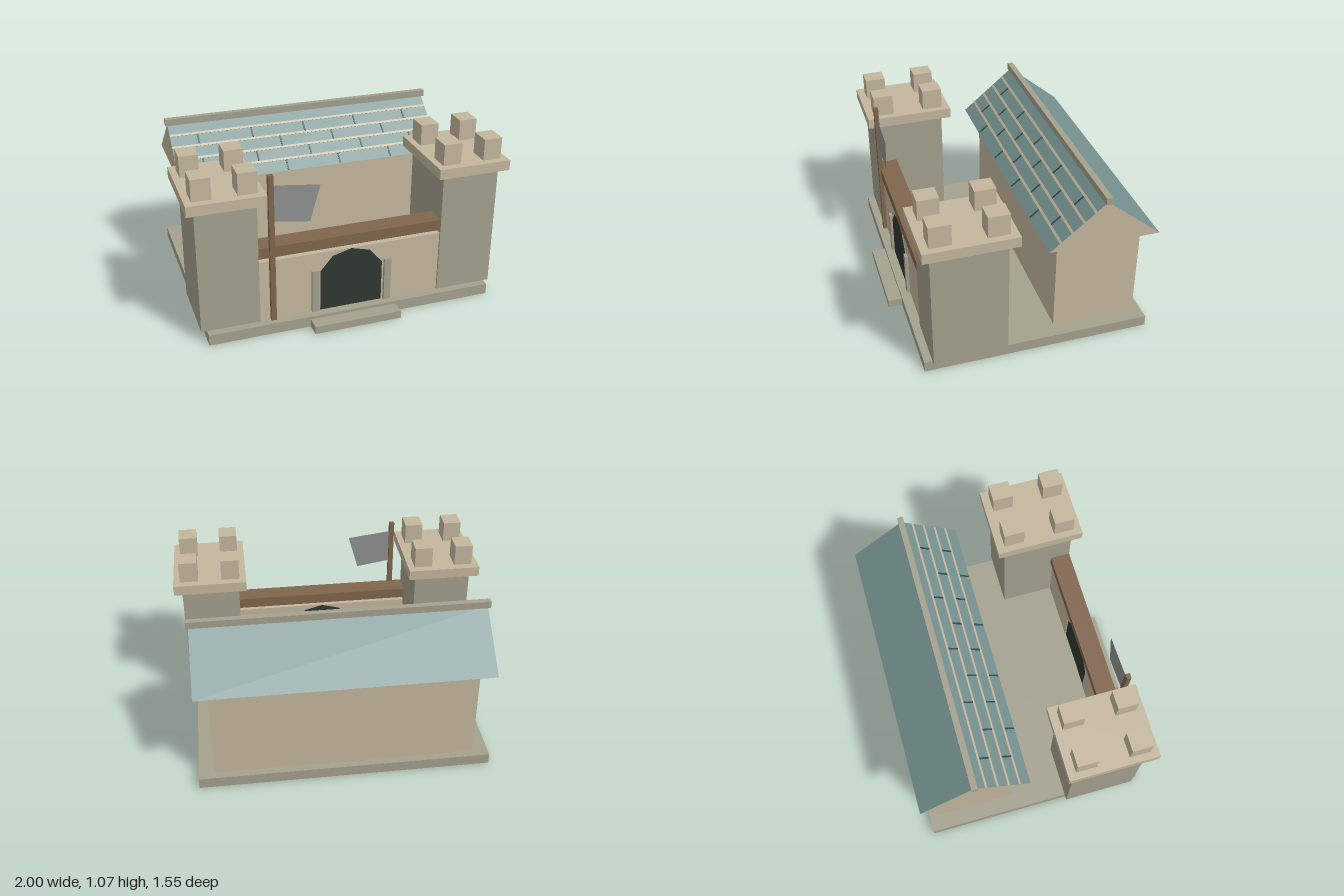
import * as THREE from 'three';

const mat = (color) => new THREE.MeshStandardMaterial({ color, flatShading: true });
const TAN = mat(0xc4b79e), STONE = mat(0xa4a18e), TEAL = mat(0x74918f);
const WOOD = mat(0x80664d), DARK = mat(0x303833), JOINT = mat(0x34494a), CLOTH = mat(0x8f9090);
CLOTH.side = THREE.DoubleSide;

export function createModel() {
  const model = new THREE.Group();

  const add = (name, geometry, material, parent = model) => {
    const mesh = new THREE.Mesh(geometry, material);
    mesh.name = name;
    parent.add(mesh);
    return mesh;
  };
  // Box given by its limits on each axis
  const box = (name, material, [x0, x1], [y0, y1], [z0, z1], parent) => {
    const mesh = add(name, new THREE.BoxGeometry(x1 - x0, y1 - y0, z1 - z0), material, parent);
    mesh.position.set((x0 + x1) / 2, (y0 + y1) / 2, (z0 + z1) / 2);
    return mesh;
  };
  const outline = (points) => new THREE.Shape(points.map(([x, y]) => new THREE.Vector2(x, y)));

  // Ground slab and entrance step
  box('base', STONE, [-0.915, 0.915], [0, 0.07], [-0.741, 0.687]);
  box('step', STONE, [-0.28, 0.28], [0, 0.05], [0.6, 0.775]);

  // Two corner towers with caps and four merlons each
  for (const side of [-1, 1]) {
    const tower = new THREE.Group();
    tower.name = side > 0 ? 'leftTower' : 'rightTower';
    tower.position.x = side * 0.767;
    model.add(tower);
    box('towerShaft', STONE, [-0.183, 0.183], [0.07, 0.87], [0.177, 0.637], tower);
    box('towerCap', TAN, [-0.233, 0.233], [0.87, 0.935], [0.124, 0.687], tower);
    for (const x of [-0.133, 0.133]) {
      for (const z of [0.24, 0.573]) {
        box('merlon', TAN, [x - 0.058, x + 0.058], [0.935, 1.07], [z - 0.065, z + 0.065], tower);
      }
    }
  }

  // Front wall with an arched opening
  const arch = [[-0.2, 0.07], [0.2, 0.07], [0.2, 0.34], [0.12, 0.435], [0, 0.468], [-0.12, 0.435], [-0.2, 0.34]];
  const wall = outline([[-0.59, 0.07], [0.59, 0.07], [0.59, 0.472], [-0.59, 0.472]]);
  wall.holes.push(new THREE.Path(arch.map(([x, y]) => new THREE.Vector2(x, y))));
  add('frontWall', new THREE.ExtrudeGeometry(wall, { depth: 0.1, bevelEnabled: false }), TAN).position.z = 0.525;
  add('gate', new THREE.ExtrudeGeometry(outline(arch), { depth: 0.1, bevelEnabled: false }), DARK).position.z = 0.53;
  box('walkwayBeam', WOOD, [-0.585, 0.585], [0.5, 0.57], [0.508, 0.637]);
  for (const side of [-1, 1]) {
    const x = side * 0.235;
    box('gatePost', STONE, [x - 0.022, x + 0.022], [0.07, 0.358], [0.6, 0.645]);
  }

  // Flagpole and slanted banner
  box('flagpole', WOOD, [-0.519, -0.486], [0.07, 1.035], [0.624, 0.652]);
  add('banner', new THREE.ShapeGeometry(outline([[-0.49, 0.738], [-0.267, 0.703], [-0.203, 0.932], [-0.49, 0.968]])), CLOTH)
    .position.z = 0.638;

  // Rear hall and its gabled roof
  const ridgeZ = -0.426, eaveY = 0.705, rise = 0.285, run = 0.347;
  box('hall', TAN, [-0.815, 0.815], [0.07, eaveY], [-0.692, -0.16]);
  const gable = outline([[-run, 0], [run, 0], [0, rise]]);
  const roof = add('roof', new THREE.ExtrudeGeometry(gable, { depth: 1.8, bevelEnabled: false }), [TAN, TEAL]);
  roof.rotation.y = Math.PI / 2;
  roof.position.set(-0.9, eaveY, ridgeZ);
  box('ridgeBeam', STONE, [-0.915, 0.915], [0.983, 1.027], [ridgeZ - 0.019, ridgeZ + 0.019]);

  // Tile courses on the front slope: long seams and staggered joints
  const slope = new THREE.Group();
  slope.name = 'tileSeams';
  slope.position.set(0, eaveY + rise, ridgeZ);
  slope.rotation.x = Math.atan2(rise, run);
  model.add(slope);
  const course = Math.hypot(rise, run) / 5;
  for (let i = 1; i < 5; i++) {
    const z = i * course;
    box('courseSeam', TAN, [-0.9, 0.9], [-0.004, 0.002], [z - 0.008, z + 0.008], slope);
    const joints = i % 2 ? [-0.72, -0.36, 0, 0.36, 0.72] : [-0.54, -0.18, 0.18, 0.54];
    for (const x of joints) {
      box('tileJoint', JOINT, [x - 0.005, x + 0.005], [-0.004, 0.004], [z + 0.008, z + course - 0.008], slope);
    }
  }

  return model;
}
